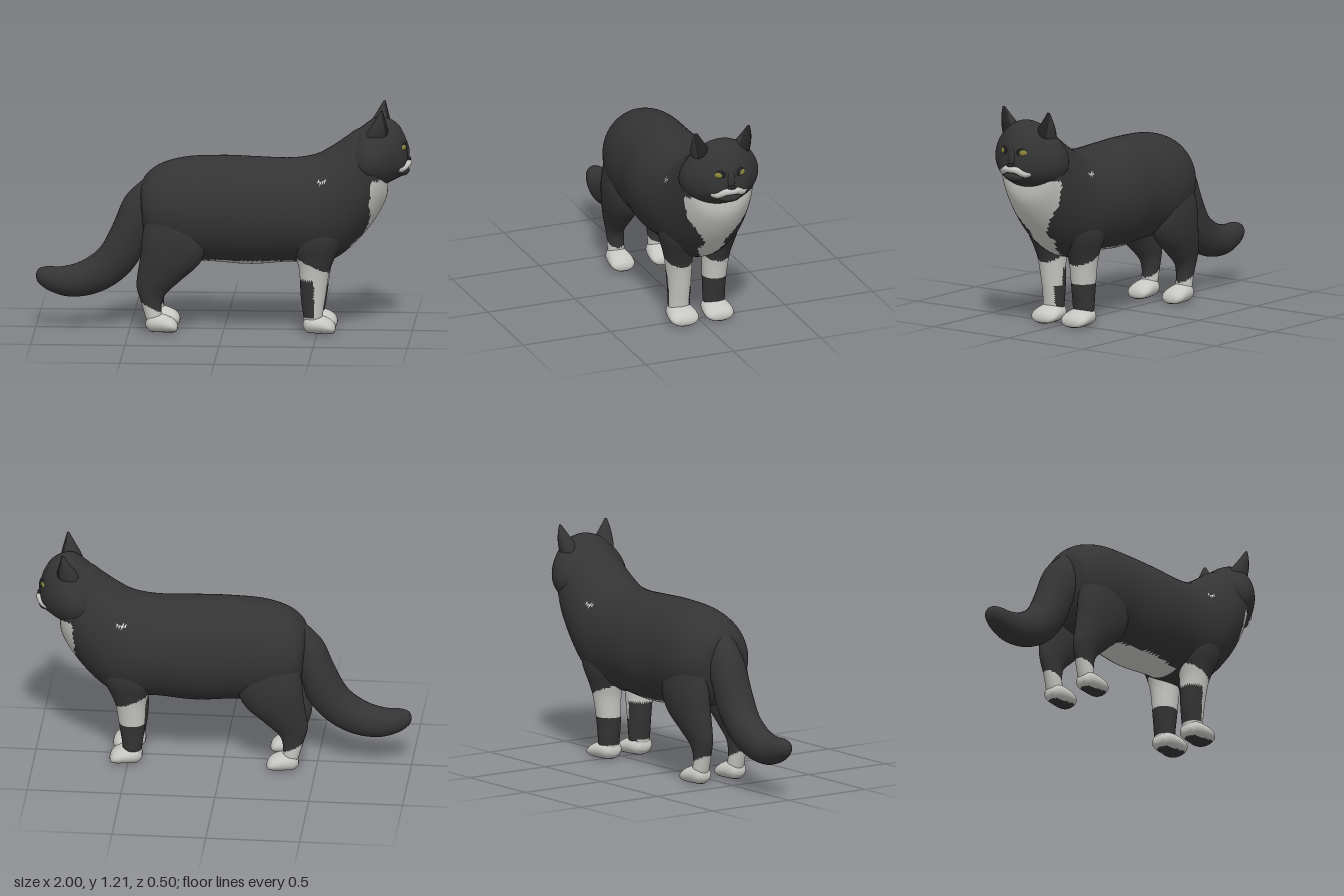
import * as THREE from 'three';

const mat = (name, color) => {
  const m = new THREE.MeshStandardMaterial({ color });
  m.name = name;
  return m;
};

export function createModel() {
  const black = mat('black fur', 0x343434);
  const white = mat('white fur', 0xc6c6c2);
  const dark = mat('dark skin', 0x222222);
  const olive = mat('olive eye', 0x8a863a);
  const cat = new THREE.Group();
  cat.name = 'cat';

  const add = (name, geo, material, parent = cat) => {
    const mesh = new THREE.Mesh(geo, material);
    mesh.name = name;
    parent.add(mesh);
    return mesh;
  };

  // Smooth loft through elliptical rings [ax, ay, bx, by, z, halfWidth]; a and b are
  // opposite ends of the ring. pick(x, y, z) returns the material index of each face.
  function loft(rings, { seg = 32, steps = 5, bias = 0, pick = () => 0 } = {}) {
    const curve = (i) => new THREE.CatmullRomCurve3(
      rings.map((r) => new THREE.Vector3(r[i], r[i + 1], r[i + 2])), false, 'catmullrom', 0.5);
    const c1 = curve(0), c2 = curve(3);
    const n = (rings.length - 1) * steps;
    const pos = [], faces = [[], []];
    for (let i = 0; i <= n; i++) {
      const { x: ax, y: ay, z: bx } = c1.getPoint(i / n);
      const { x: by, y: cz, z: w } = c2.getPoint(i / n);
      for (let j = 0; j < seg; j++) {
        const t = (j / seg) * Math.PI * 2, c = Math.cos(t);
        pos.push((ax + bx) / 2 + (c * (ax - bx)) / 2, (ay + by) / 2 + (c * (ay - by)) / 2,
          cz + Math.sin(t) * w * (1 - bias * c));
      }
    }
    for (const r of [rings[0], rings[rings.length - 1]]) {
      pos.push((r[0] + r[2]) / 2, (r[1] + r[3]) / 2, r[4]);
    }
    const tri = (...v) => {
      const mid = [0, 1, 2].map((k) => v.reduce((s, q) => s + pos[q * 3 + k], 0) / 3);
      faces[pick(...mid)].push(...v);
    };
    const start = (n + 1) * seg;
    for (let j = 0; j < seg; j++) {
      const k = (j + 1) % seg;
      tri(start, k, j);
      tri(start + 1, n * seg + j, n * seg + k);
      for (let i = 0; i < n; i++) {
        const p = i * seg, q = p + seg;
        tri(p + j, p + k, q + j);
        tri(p + k, q + k, q + j);
      }
    }
    const geo = new THREE.BufferGeometry();
    geo.setAttribute('position', new THREE.Float32BufferAttribute(pos, 3));
    geo.setIndex([...faces[0], ...faces[1]]);
    geo.addGroup(0, faces[0].length, 0);
    geo.addGroup(faces[0].length, faces[1].length, 1);
    geo.computeVertexNormals();
    return geo;
  }
  const fur = [black, white];

  // Body with white bib and belly patch
  const bib = [[0.36, 0.015], [0.4, 0.03], [0.48, 0.075], [0.53, 0.055], [0.6, 0.1], [0.7, 0.17], [0.8, 0.195], [0.84, 0.195]];
  const bibWidth = (y) => {
    const i = bib.findIndex((b) => b[0] > y);
    if (i < 1) return 0;
    const [y0, w0] = bib[i - 1], [y1, w1] = bib[i];
    return w0 + ((w1 - w0) * (y - y0)) / (y1 - y0);
  };
  add('body', loft([
    [-0.45, 0.74, -0.43, 0.6, 0, 0.07],
    [-0.42, 0.82, -0.42, 0.5, 0, 0.15],
    [-0.34, 0.885, -0.36, 0.42, 0, 0.2],
    [-0.2, 0.925, -0.22, 0.38, 0, 0.23],
    [0, 0.935, -0.03, 0.365, 0, 0.232],
    [0.15, 0.93, 0.15, 0.355, 0, 0.248],
    [0.35, 0.925, 0.35, 0.37, 0, 0.24],
    [0.48, 0.945, 0.52, 0.365, 0, 0.235],
    [0.57, 0.99, 0.65, 0.43, 0, 0.228],
    [0.65, 1.045, 0.78, 0.57, 0, 0.213],
    [0.7, 1.08, 0.86, 0.71, 0, 0.2],
    [0.77, 1.1, 0.87, 0.82, 0, 0.18],
    [0.83, 1.06, 0.87, 0.88, 0, 0.11],
  ], {
    seg: 72, steps: 8,
    pick: (x, y, z) => {
      const chest = x > 0.5 && Math.abs(z) < bibWidth(y);
      const belly = x > -0.1 && x < 0.38 && y < 0.388;
      return chest || belly ? 1 : 0;
    },
  }), fur);

  // Tail, from tip to base
  add('tail', loft([
    [-1, 0.285, -1, 0.265, -0.005, 0.012],
    [-0.985, 0.312, -0.985, 0.235, -0.005, 0.038],
    [-0.94, 0.325, -0.93, 0.195, -0.005, 0.06],
    [-0.86, 0.325, -0.83, 0.165, -0.005, 0.076],
    [-0.76, 0.355, -0.71, 0.175, -0.005, 0.083],
    [-0.66, 0.43, -0.6, 0.22, -0.005, 0.09],
    [-0.59, 0.56, -0.51, 0.29, -0.005, 0.096],
    [-0.53, 0.7, -0.445, 0.38, -0.005, 0.1],
    [-0.45, 0.785, -0.42, 0.46, 0, 0.1],
    [-0.36, 0.85, -0.38, 0.55, 0, 0.09],
  ]), fur);

  // Legs and paws
  const paw = (x, z, len, w) => loft([
    [0, 0.06, 0, 0.03, 0.03, 0.4], [0.15, 0.1, 0.15, 0.004, 0, 0.8], [0.5, 0.098, 0.5, 0, 0, 0.98],
    [0.8, 0.078, 0.8, 0, 0, 1], [0.95, 0.055, 0.95, 0.004, 0, 0.75], [1, 0.035, 1, 0.02, 0, 0.3],
  ].map((r) => [x + r[0] * len, r[1], x + r[2] * len, r[3], z, r[5] * w]),
  { pick: (px, py) => (py < 0.01 ? 0 : 1) });

  for (const s of [1, -1]) {
    const side = s > 0 ? 'Right' : 'Left';
    const frontPick = (x, y, z) => {
      if (s < 0) return y < 0.08 || (y > 0.235 && y < 0.41 - 0.42 * (x - 0.39)) ? 1 : 0;
      if (y > 0.41 - 0.45 * (x - 0.39)) return 0;
      const backPatch = x < 0.485 && y > 0.09 && y < 0.29;
      const innerPatch = z < 0.06 && y > 0.07 && y < 0.2;
      return backPatch || innerPatch ? 0 : 1;
    };
    add('frontLeg' + side, loft([
      [0.64, 0.66, 0.38, 0.66, 0.12 * s, 0.08],
      [0.64, 0.52, 0.36, 0.5, 0.122 * s, 0.092],
      [0.59, 0.4, 0.39, 0.4, 0.11 * s, 0.08],
      [0.565, 0.33, 0.405, 0.33, 0.105 * s, 0.072],
      [0.545, 0.2, 0.412, 0.2, 0.1 * s, 0.063],
      [0.53, 0.1, 0.425, 0.1, 0.1 * s, 0.06],
      [0.53, 0.03, 0.435, 0.03, 0.1 * s, 0.055],
    ], { seg: 40, steps: 8, pick: frontPick }), fur);
    add('frontPaw' + side, paw(0.425, 0.1 * s, 0.172, 0.08), fur);

    add('hindLeg' + side, loft([
      [-0.1, 0.64, -0.41, 0.64, 0.12 * s, 0.085],
      [-0.08, 0.5, -0.43, 0.5, 0.133 * s, 0.09],
      [-0.12, 0.38, -0.44, 0.4, 0.13 * s, 0.085],
      [-0.22, 0.285, -0.455, 0.3, 0.125 * s, 0.066],
      [-0.3, 0.21, -0.458, 0.24, 0.12 * s, 0.051],
      [-0.325, 0.15, -0.432, 0.15, 0.115 * s, 0.045],
      [-0.325, 0.08, -0.412, 0.08, 0.115 * s, 0.045],
      [-0.33, 0.03, -0.395, 0.03, 0.115 * s, 0.04],
    ], { seg: 40, steps: 8, pick: (x, y) => (y < 0.13 - 0.5 * (x + 0.37) ? 1 : 0) }), fur);
    add('hindPaw' + side, paw(-0.41, 0.115 * s, 0.17, 0.067), fur);
  }

  // Head
  const head = new THREE.Group();
  head.name = 'head';
  cat.add(head);
  add('skull', loft([
    [0.66, 1.04, 0.66, 0.86, 0, 0.13],
    [0.74, 1.105, 0.74, 0.8, 0, 0.205],
    [0.81, 1.15, 0.81, 0.785, 0, 0.215],
    [0.87, 1.145, 0.87, 0.8, 0, 0.185],
    [0.92, 1.115, 0.92, 0.825, 0, 0.138],
    [0.95, 1.07, 0.95, 0.84, 0, 0.098],
    [0.967, 1.03, 0.967, 0.85, 0, 0.06],
    [0.975, 0.98, 0.975, 0.87, 0, 0.03],
  ], { seg: 48, bias: 0.15 }), fur, head);

  const blob = (name, material, p, r, turn = 0) => {
    const m = add(name, new THREE.SphereGeometry(1, 20, 12), material, head);
    m.position.set(...p);
    m.scale.set(...r);
    m.rotation.y = turn;
  };
  blob('chin', black, [0.945, 0.868, 0], [0.04, 0.03, 0.065]);
  blob('noseBridge', black, [0.955, 0.965, 0], [0.03, 0.06, 0.028]);
  blob('nose', dark, [0.976, 0.928, 0], [0.018, 0.014, 0.024]);

  for (const s of [1, -1]) {
    const side = s > 0 ? 'Right' : 'Left';
    blob('eyeRim' + side, dark, [0.947, 1.002, 0.067 * s], [0.012, 0.025, 0.042], -0.6 * s);
    blob('eye' + side, olive, [0.952, 1.0, 0.067 * s], [0.012, 0.018, 0.025], -0.6 * s);
    // Ear, from tip to base, with a dark front hollow
    add('ear' + side, loft([
      [0.85, 1.212, 0.838, 1.21, 0.15 * s, 0.007],
      [0.862, 1.165, 0.805, 1.155, 0.138 * s, 0.03],
      [0.876, 1.11, 0.765, 1.09, 0.118 * s, 0.05],
      [0.878, 1.04, 0.74, 1.02, 0.1 * s, 0.055],
    ], { seg: 16, pick: (x, y) => (x > 0.846 + (1.2 - y) * 0.12 ? 1 : 0) }), [black, dark], head);
  }

  // White whisker band curling up at both ends
  const band = new THREE.CatmullRomCurve3([
    [0.915, 0.918, 0.092], [0.925, 0.893, 0.09], [0.95, 0.888, 0.068], [0.974, 0.905, 0.035], [0.98, 0.908, 0],
    [0.974, 0.905, -0.035], [0.95, 0.888, -0.068], [0.925, 0.893, -0.09], [0.915, 0.918, -0.092],
  ].map((p) => new THREE.Vector3(...p)));
  add('whiskerBand', new THREE.TubeGeometry(band, 48, 0.019, 10), white, head);
  for (const s of [1, -1]) blob('whiskerTip', white, [0.916, 0.917, 0.092 * s], [0.019, 0.019, 0.019]);

  return cat;
}
